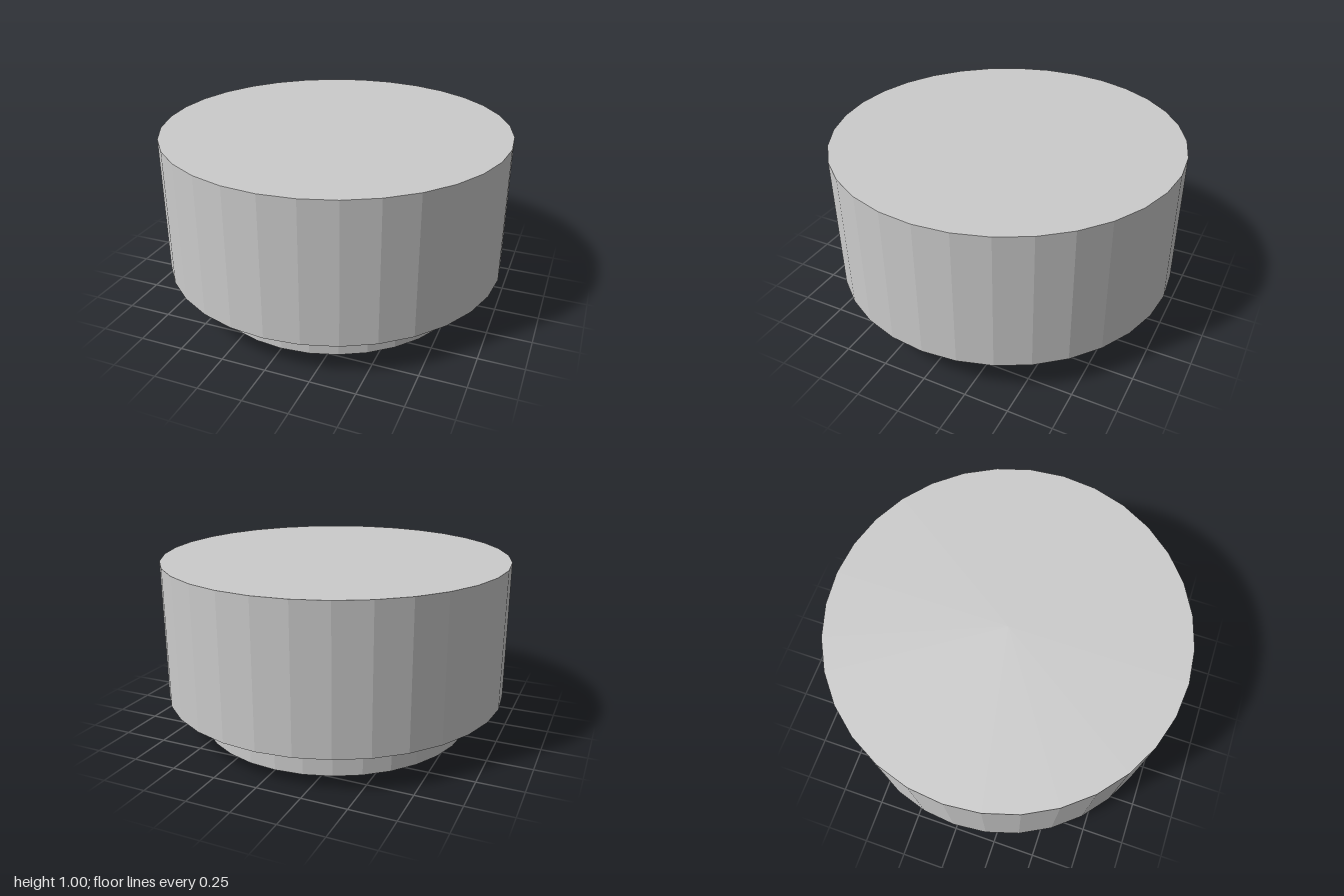
import * as THREE from 'three';

const SIDES = 32;

// Upright faceted disc standing on height y
function disc(name, radius, height, y, material) {
  const geometry = new THREE.CylinderGeometry(radius, radius, height, SIDES);
  const mesh = new THREE.Mesh(geometry, material);
  mesh.name = name;
  mesh.position.y = y + height / 2;
  return mesh;
}

export function createModel() {
  const group = new THREE.Group();
  group.name = 'steppedDrum';
  const grey = new THREE.MeshStandardMaterial({ color: 0xcccccc, flatShading: true });

  // Narrow foot below, wide body above
  group.add(disc('foot', 0.8, 0.2, 0, grey));
  group.add(disc('body', 1, 0.8, 0.2, grey));
  return group;
}
